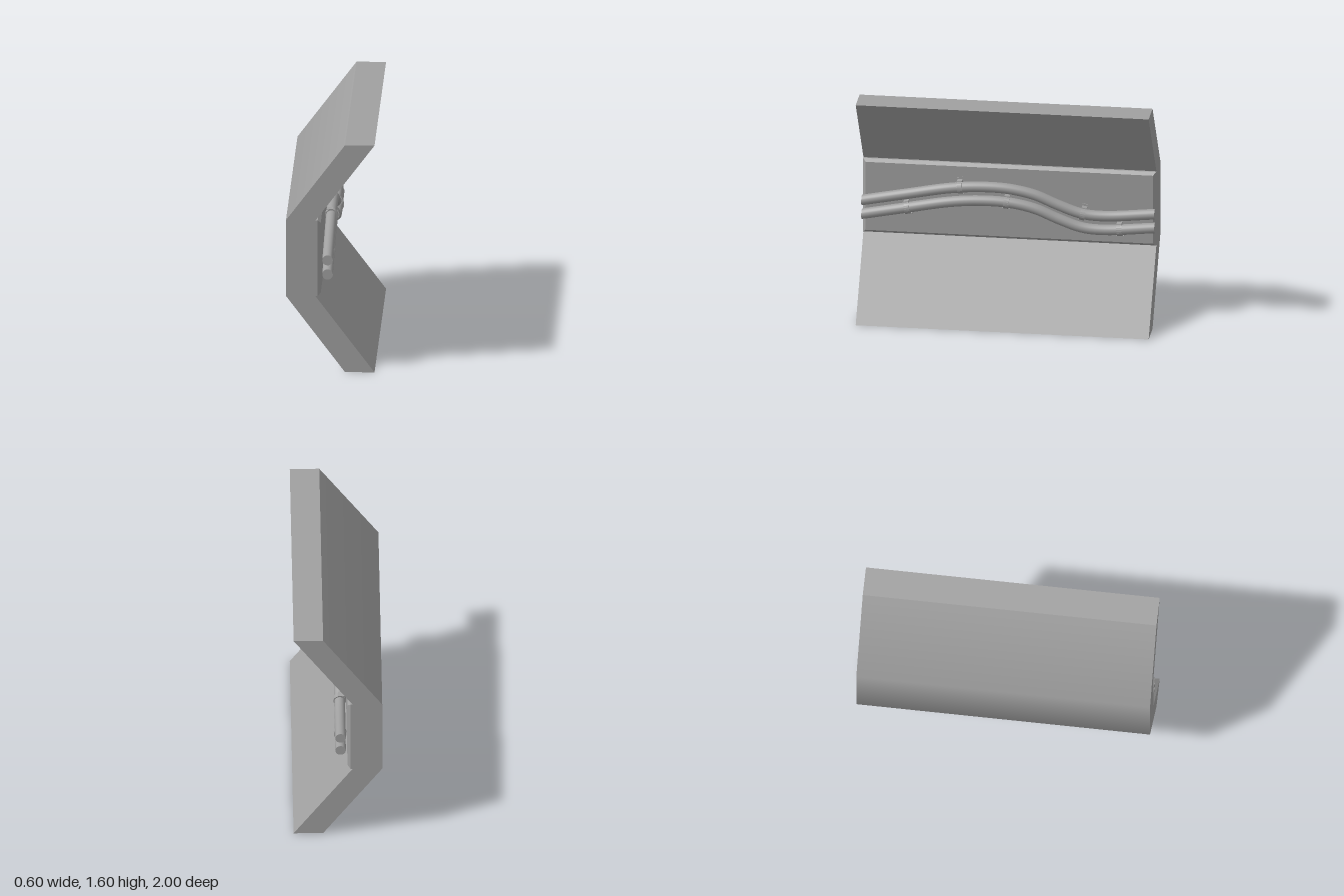
import * as THREE from 'three';

const grey = new THREE.MeshStandardMaterial({ color: 0xa0a0a0 });
grey.name = 'grey';

function addMesh(parent, geometry, name) {
  const mesh = new THREE.Mesh(geometry, grey);
  mesh.name = name;
  parent.add(mesh);
  return mesh;
}

// Angled wall: constant profile swept along z, outer side smooth across its bends
function wallGeometry() {
  const profile = [[0.1, 0], [0.3, 0], [-0.1, 0.533], [-0.1, 1.067],
    [0.3, 1.6], [0.1, 1.6], [-0.3, 1.067], [-0.3, 0.533]];
  const shape = new THREE.Shape(profile.map(([x, y]) => new THREE.Vector2(x, y)));
  const g = new THREE.ExtrudeGeometry(shape, { depth: 2, bevelEnabled: false });
  g.translate(0, 0, -1);
  const p = g.attributes.position, n = g.attributes.normal;
  for (let i = 0; i < p.count; i++) {
    const y = p.getY(i);
    if (n.getX(i) < -0.5 && y > 0.1 && y < 1.5) n.setXYZ(i, -0.937, y > 0.8 ? 0.35 : -0.35, 0);
  }
  return g;
}

// Bevelled panel standing proud of the upright part of the wall
function panelGeometry() {
  const b = 0.02, w = 1 - b, h = 0.267 - b;
  const shape = new THREE.Shape([[-w, -h], [w, -h], [w, h], [-w, h]].map(([x, y]) => new THREE.Vector2(x, y)));
  const g = new THREE.ExtrudeGeometry(shape,
    { depth: 0.015, bevelSize: b, bevelThickness: b, bevelSegments: 1 });
  g.rotateY(Math.PI / 2);
  g.translate(-0.1, 0.8, 0);
  return g;
}

const PIPE_X = -0.018, PIPE_R = 0.036;
const PATH = [[1, 0.787], [0.7, 0.847], [0.4, 0.905], [0.2, 0.924], [0, 0.92],
  [-0.18, 0.885], [-0.34, 0.82], [-0.5, 0.766], [-0.65, 0.755], [-1, 0.787]];

function addPipe(parent, drop, name) {
  const curve = new THREE.CatmullRomCurve3(PATH.map(([z, y]) => new THREE.Vector3(PIPE_X, y - drop, z)));
  const rings = 60, sides = 20;
  const tube = new THREE.TubeGeometry(curve, rings, PIPE_R, sides, false);
  // square off both ends
  const p = tube.attributes.position;
  for (let j = 0; j <= sides; j++) {
    p.setZ(j, 1);
    p.setZ(rings * (sides + 1) + j, -1);
  }
  addMesh(parent, tube, name);
  for (const s of [1, -1]) {
    const cap = addMesh(parent, new THREE.CircleGeometry(PIPE_R, sides), name + 'End');
    cap.position.set(PIPE_X, 0.787 - drop, s);
    if (s < 0) cap.rotation.y = Math.PI;
  }
  return curve;
}

// Pipe clamp: a strap round the pipe, a narrow top tab and a wider foot
function addClamp(parent, curve, z) {
  let best = 0, gap = 9;
  for (let i = 0; i <= 400; i++) {
    const d = Math.abs(curve.getPoint(i / 400).z - z);
    if (d < gap) { gap = d; best = i / 400; }
  }
  const t = curve.getTangent(best);
  const clamp = new THREE.Group();
  clamp.name = 'clamp';
  clamp.position.copy(curve.getPoint(best));
  clamp.rotation.x = Math.atan2(t.y, -t.z);

  const ring = new THREE.Shape();
  ring.absarc(0, 0, 0.043, 0, Math.PI * 2);
  const hole = new THREE.Path();
  hole.absarc(0, 0, 0.035, 0, Math.PI * 2, true);
  ring.holes.push(hole);
  const strap = new THREE.ExtrudeGeometry(ring, { depth: 0.036, bevelEnabled: false, curveSegments: 10 });
  strap.translate(0, 0, -0.018);
  addMesh(clamp, strap, 'strap');

  for (const [side, width, name] of [[1, 0.036, 'tab'], [-1, 0.052, 'foot']]) {
    const arm = addMesh(clamp, new THREE.BoxGeometry(0.045, 0.006, width), name);
    arm.position.set(-0.012, side * 0.044, 0);
    const plate = addMesh(clamp, new THREE.BoxGeometry(0.006, 0.02, width), name + 'Plate');
    plate.position.set(-0.034, side * 0.051, 0);
  }
  parent.add(clamp);
}

export function createModel() {
  const model = new THREE.Group();
  model.name = 'wallSection';
  addMesh(model, wallGeometry(), 'wall');
  addMesh(model, panelGeometry(), 'panel');

  const pipes = new THREE.Group();
  pipes.name = 'pipes';
  model.add(pipes);
  const upper = addPipe(pipes, 0, 'upperPipe');
  const lower = addPipe(pipes, 0.1, 'lowerPipe');
  for (const z of [0.33, -0.51]) addClamp(pipes, upper, z);
  for (const z of [0.69, 0.01, -0.76]) addClamp(pipes, lower, z);
  return model;
}
